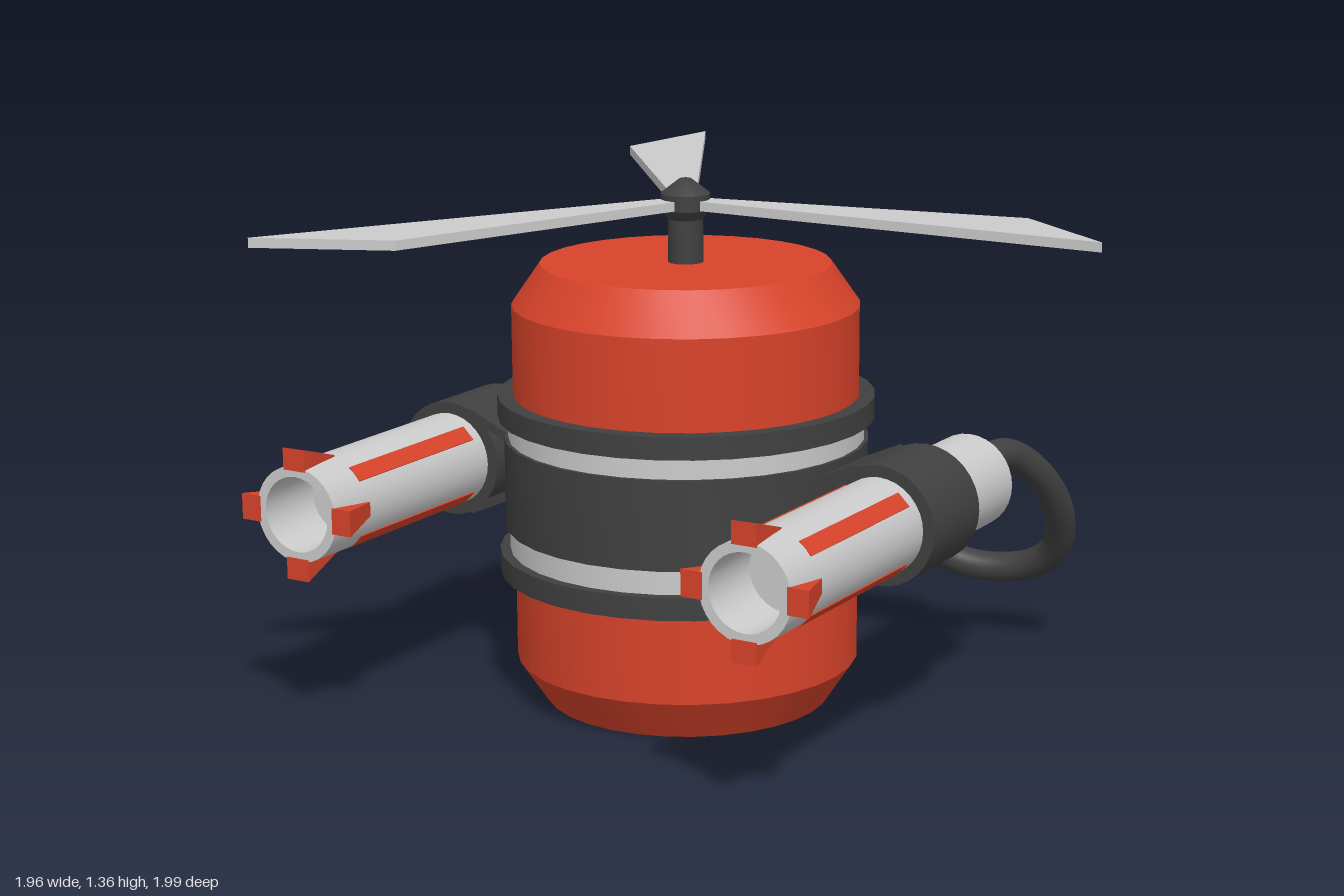
import * as THREE from 'three';
import { toCreasedNormals } from 'three/addons/utils/BufferGeometryUtils.js';

const red = new THREE.MeshStandardMaterial({ color: 0xd8432a });
const dark = new THREE.MeshStandardMaterial({ color: 0x404040 });
const grey = new THREE.MeshStandardMaterial({ color: 0xcccccc });

function add(parent, name, geometry, material) {
  const mesh = new THREE.Mesh(geometry, material);
  mesh.name = name;
  parent.add(mesh);
  return mesh;
}

// Turned solid from [radius, height] pairs listed bottom to top, crisp edges
function turned(points, sides = 32) {
  const profile = points.map(([r, y]) => new THREE.Vector2(r, y));
  return toCreasedNormals(new THREE.LatheGeometry(profile, sides), 0.5);
}

const drum = (r, y0, y1, sides) => turned([[0, y0], [r, y0], [r, y1], [0, y1]], sides);

// Fin that widens and rises towards the muzzle
function finGeometry() {
  const g = new THREE.BoxGeometry(1, 1, 1);
  const p = g.attributes.position;
  for (let i = 0; i < p.count; i++) {
    const front = p.getZ(i) > 0;
    const outer = p.getY(i) > 0;
    p.setXYZ(i, p.getX(i) * (front ? 0.066 : 0.036),
      outer ? (front ? 0.168 : 0.124) : 0.112, front ? 0.808 : 0.67);
  }
  g.computeVertexNormals();
  return g;
}

function createBarrel(side) {
  const barrel = new THREE.Group();
  barrel.name = side > 0 ? 'leftBarrel' : 'rightBarrel';
  barrel.position.set(side * 0.64, 0.575, 0);

  // Tube with an open bore at the front
  const tube = turned([[0, -0.33], [0.122, -0.33], [0.122, 0.805], [0.096, 0.805], [0.096, 0.62], [0, 0.62]]);
  add(barrel, 'tube', tube.rotateX(Math.PI / 2), grey);
  add(barrel, 'clamp', drum(0.152, -0.08, 0.165).rotateX(Math.PI / 2), dark);

  for (let i = 0; i < 4; i++) {
    const angle = i * Math.PI / 2;
    add(barrel, 'fin', finGeometry(), red).rotation.z = angle;
    const strip = new THREE.BoxGeometry(0.044, 0.02, 0.48).translate(0, 0.113, 0.44);
    add(barrel, 'strip', strip, red).rotation.z = angle + Math.PI / 4;
  }

  // Plates joining the clamp to the belt
  for (const v of [1, -1]) {
    const plate = add(barrel, 'clampPlate', new THREE.BoxGeometry(0.14, 0.024, 0.245), dark);
    plate.position.set(-side * 0.125, v * 0.104, 0.0425);
    plate.rotation.z = side * v * 0.42;
  }
  return barrel;
}

// Hose from the barrel's rear end, drooping round into the back of the belt
function hoseGeometry(side) {
  const path = [
    [0.64, 0.575, -0.30], [0.645, 0.61, -0.40], [0.67, 0.61, -0.50], [0.715, 0.52, -0.62],
    [0.725, 0.40, -0.71], [0.68, 0.28, -0.78], [0.575, 0.215, -0.80], [0.42, 0.21, -0.77],
    [0.27, 0.30, -0.71], [0.17, 0.44, -0.63], [0.12, 0.55, -0.54], [0.10, 0.58, -0.43],
  ].map(([x, y, z]) => new THREE.Vector3(side * x, y, z - 0.012));
  return new THREE.TubeGeometry(new THREE.CatmullRomCurve3(path), 64, 0.041, 14);
}

function createRotor() {
  const rotor = new THREE.Group();
  rotor.name = 'rotor';
  add(rotor, 'shaft', drum(0.045, 1.12, 1.27, 16), dark);
  add(rotor, 'hub', turned([[0, 1.25], [0.045, 1.25], [0.063, 1.275], [0.063, 1.315], [0.015, 1.352], [0, 1.355]], 16), dark);

  const outline = [[0.02, 0.03], [0.865, 0.18], [1.15, -0.025], [0.02, -0.025]];
  const shape = new THREE.Shape(outline.map(([x, y]) => new THREE.Vector2(x, y)));
  for (let i = 0; i < 3; i++) {
    const blade = new THREE.ExtrudeGeometry(shape, { depth: 0.024, bevelEnabled: false });
    blade.rotateX(-Math.PI / 2).translate(0, 1.277, 0);
    add(rotor, 'blade', blade, grey).rotation.y = i * Math.PI * 2 / 3;
  }
  return rotor;
}

export function createModel() {
  const model = new THREE.Group();
  model.name = 'flyingPack';
  // The rotor blades reach further to one side, so the pack sits off centre
  const pack = new THREE.Group();
  pack.name = 'pack';
  pack.position.set(-0.175, 0, 0.012);
  model.add(pack);

  // Canister with bevelled ends
  add(pack, 'canister', turned([[0, 0], [0.37, 0], [0.443, 0.11], [0.443, 1.035], [0.37, 1.14], [0, 1.14]]), red);
  add(pack, 'band', drum(0.457, 0.36, 0.78), grey);
  add(pack, 'belt', drum(0.467, 0.46, 0.69), dark);
  for (const y of [0.34, 0.745]) add(pack, 'ring', drum(0.483, y, y + 0.058), dark);

  for (const side of [1, -1]) {
    const barrel = createBarrel(side);
    barrel.position.z = -0.012;
    pack.add(barrel);
    add(pack, 'hose', hoseGeometry(side), dark);
  }
  pack.add(createRotor());
  return model;
}
